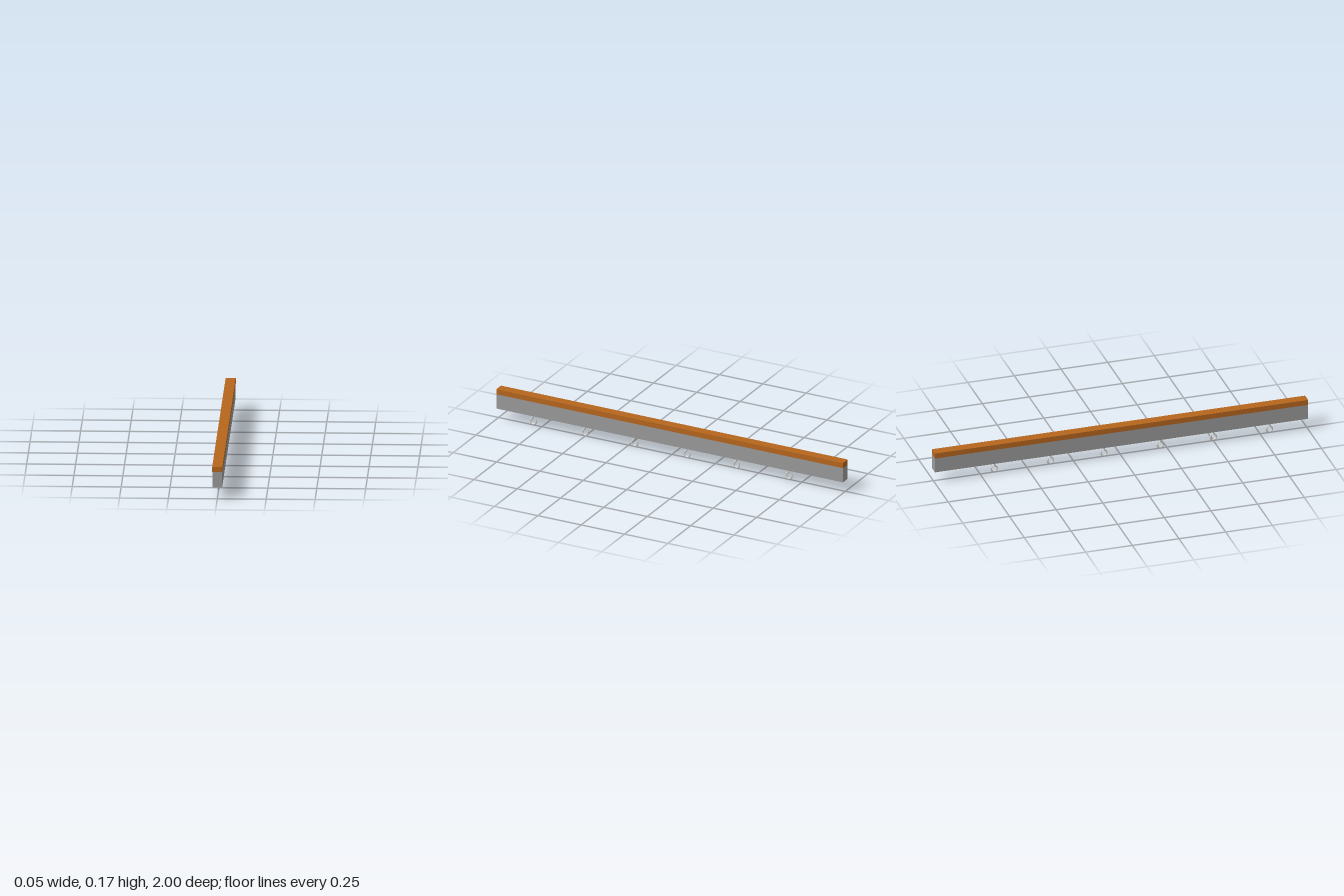
import * as THREE from 'three';

const wood = new THREE.MeshStandardMaterial({ color: 0xb5651d });
wood.name = 'wood';
const grey = new THREE.MeshStandardMaterial({ color: 0x999999 });
grey.name = 'grey rail';
const steel = new THREE.MeshStandardMaterial({ color: 0xd3d3d3 });
steel.name = 'light steel';

function box(name, material, w, h, d, x, y, z) {
  const mesh = new THREE.Mesh(new THREE.BoxGeometry(w, h, d), material);
  mesh.name = name;
  mesh.position.set(x, y, z);
  return mesh;
}

// Open hook in the YZ plane: short stem, then an arc round the front and bottom
function hookGeometries() {
  const r = 0.0158, wire = 0.0045, cy = 0.0203;
  const points = [new THREE.Vector3(0, 0.062, 0), new THREE.Vector3(0, 0.048, 0)];
  for (let i = 0; i <= 12; i++) {
    const a = THREE.MathUtils.degToRad(62 - i * 24);
    points.push(new THREE.Vector3(0, cy + r * Math.sin(a), r * Math.cos(a)));
  }
  const curve = new THREE.CatmullRomCurve3(points);
  const tip = new THREE.CircleGeometry(wire, 8);
  tip.applyQuaternion(new THREE.Quaternion().setFromUnitVectors(
    new THREE.Vector3(0, 0, 1), curve.getTangentAt(1)));
  const end = points[points.length - 1];
  tip.translate(end.x, end.y, end.z);
  return [new THREE.TubeGeometry(curve, 36, wire, 8, false), tip];
}

export function createModel() {
  const model = new THREE.Group();
  model.name = 'hookRail';

  // Wooden cap over a rail made of two halves
  model.add(box('woodenCap', wood, 0.052, 0.028, 2, 0, 0.154, 0));
  for (const side of [-1, 1]) {
    model.add(box(side < 0 ? 'rightRailHalf' : 'leftRailHalf', grey,
      0.0247, 0.081, 1.998, side * 0.01235, 0.1, 0));
  }

  // Six hooks along the underside
  const [wireGeometry, tipGeometry] = hookGeometries();
  for (const z of [0.8, 0.5, 0.215, -0.087, -0.373, -0.675]) {
    const hook = new THREE.Group();
    hook.name = 'hook';
    const wire = new THREE.Mesh(wireGeometry, steel);
    wire.name = 'hookWire';
    const tip = new THREE.Mesh(tipGeometry, steel);
    tip.name = 'hookTip';
    hook.add(wire, tip);
    hook.position.z = z;
    model.add(hook);
  }
  return model;
}
